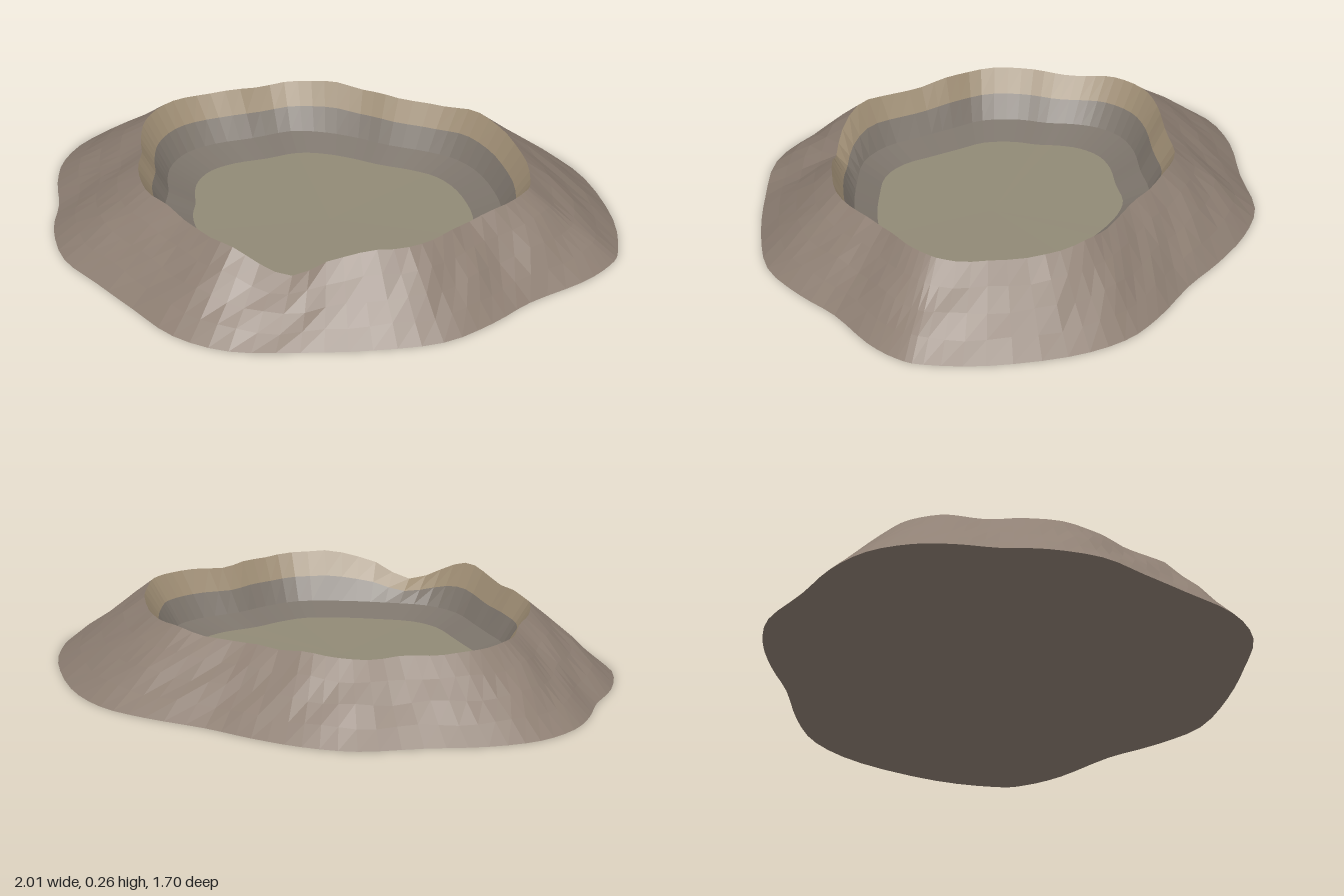
import * as THREE from 'three';

// Ground outline as [x, z], counter-clockwise seen from above
const OUTLINE = [
  [1, -0.08], [0.94, -0.29], [0.79, -0.54], [0.62, -0.69], [0.43, -0.75], [0.19, -0.78], [0, -0.825],
  [-0.2, -0.85], [-0.4, -0.825], [-0.6, -0.705], [-0.8, -0.6], [-0.94, -0.47], [-1, -0.31], [-0.995, -0.16],
  [-0.96, -0.01], [-0.945, 0.16], [-0.87, 0.35], [-0.73, 0.485], [-0.575, 0.63], [-0.4, 0.785], [-0.19, 0.85],
  [0.055, 0.81], [0.3, 0.745], [0.53, 0.645], [0.67, 0.485], [0.77, 0.32], [0.92, 0.15], [0.99, 0.02],
];
const SEGMENTS = 84;
const FLOOR_Y = 0.065;

const outline = new THREE.CatmullRomCurve3(
  OUTLINE.map(([x, z]) => new THREE.Vector3(x, 0, z)), true, 'catmullrom', 0.5,
).getPoints(SEGMENTS).slice(0, SEGMENTS);

// Uneven crest height, with a breach at the front
function rimHeight(p) {
  const a = Math.atan2(p.z, p.x);
  const breach = Math.exp(-(((a - Math.PI / 2 - 0.05) / 0.2) ** 2));
  const ripple = 0.005 * Math.sin(7 * a + 1) + 0.003 * Math.sin(13 * a) + 0.002 * Math.sin(22 * a + 2);
  return 0.25 + ripple - 0.085 * breach;
}

// A loop is the outline scaled inwards; height(p) gives y
const loop = (scale, height) =>
  outline.map((p) => new THREE.Vector3(p.x * scale, height(p), p.z * scale));

// Skins consecutive loops, ordered from outside to inside
function band(name, loops, color) {
  const positions = loops.flatMap((l) => l.flatMap((p) => p.toArray()));
  const index = [];
  for (let k = 0; k < loops.length - 1; k++) {
    for (let i = 0; i < SEGMENTS; i++) {
      const j = (i + 1) % SEGMENTS;
      const a = k * SEGMENTS, b = a + SEGMENTS;
      index.push(a + i, a + j, b + j, a + i, b + j, b + i);
    }
  }
  const geometry = new THREE.BufferGeometry();
  geometry.setAttribute('position', new THREE.Float32BufferAttribute(positions, 3));
  geometry.setIndex(index);
  geometry.computeVertexNormals();
  const mesh = new THREE.Mesh(geometry, new THREE.MeshStandardMaterial({ color, flatShading: true }));
  mesh.name = name;
  return mesh;
}

export function createModel() {
  const group = new THREE.Group();
  group.name = 'crater';

  // Outer slope, slightly roughened between foot and rim
  const slope = [0, 0.25, 0.5, 0.75, 1].map((t) => loop(1 - 0.305 * t, (p) => {
    const a = Math.atan2(p.z, p.x);
    const rough = 0.006 * Math.sin(Math.PI * t) * Math.sin(17 * a + 9 * t);
    return rimHeight(p) * t + rough;
  }));
  const rim = slope[slope.length - 1];

  // Inner wall steps down from the rim to the ledge around the floor
  const middle = loop(0.645, (p) => 0.1 + (rimHeight(p) - 0.1) * 0.5);
  const foot = loop(0.597, () => 0.1);
  const shore = loop(0.497, () => FLOOR_Y);
  const centre = loop(0, () => FLOOR_Y - 0.005);

  group.add(
    band('outerSlope', slope, 0x8f8074),
    band('innerLip', [rim, middle], 0x9c8b72),
    band('innerWall', [middle, foot], 0x7b736a),
    band('ledge', [foot, shore], 0x7b736a),
    band('craterFloor', [shore, centre], 0x918a76),
    // Underside, wound from the middle outwards so that it faces down
    band('underside', [loop(0, () => 0), loop(1, () => 0)], 0x8f8074),
  );
  return group;
}
